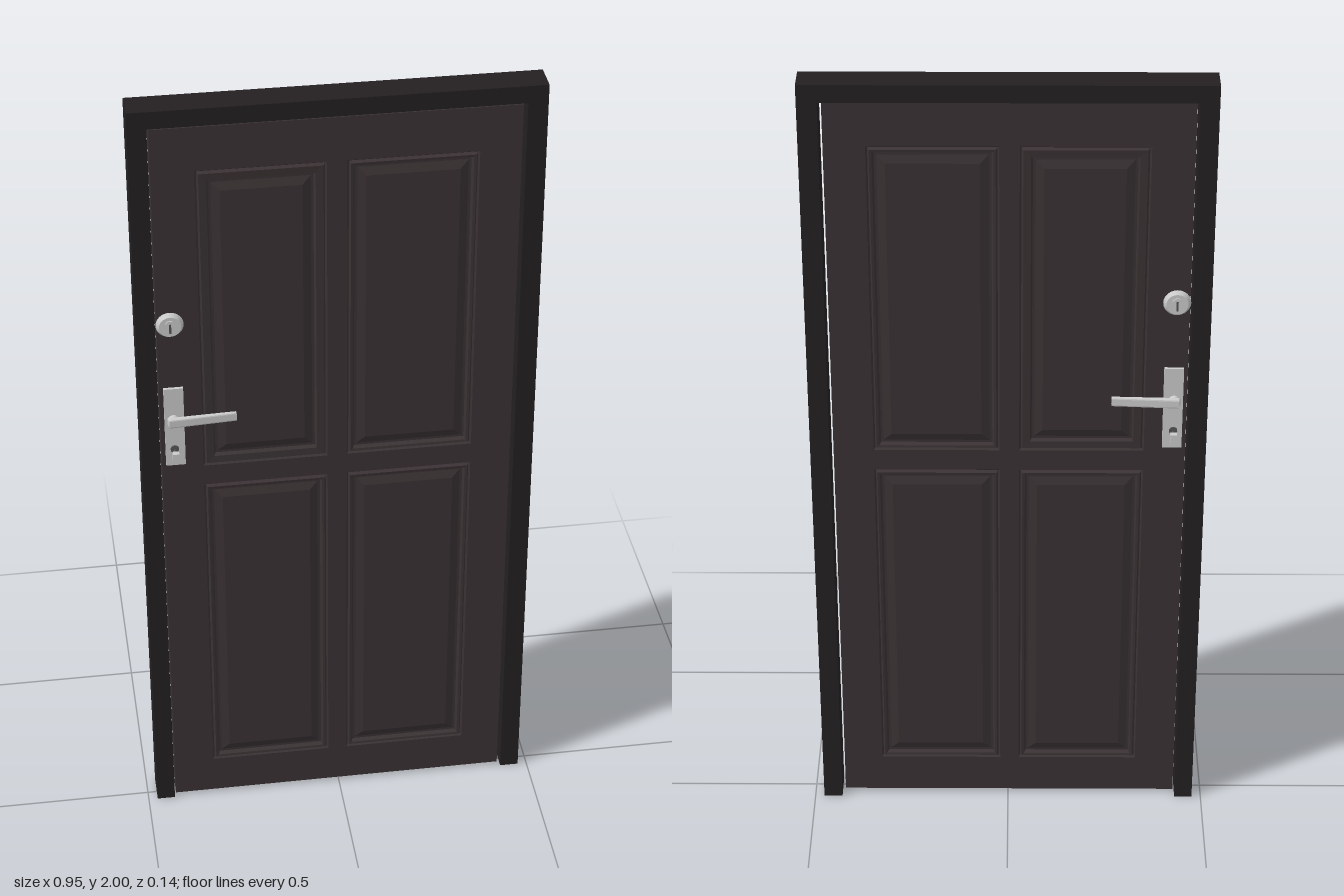
import * as THREE from 'three';

const doorMat = new THREE.MeshStandardMaterial({ color: 0x3a3234, flatShading: true });
const frameMat = new THREE.MeshStandardMaterial({ color: 0x242022 });
const metalMat = new THREE.MeshStandardMaterial({ color: 0xcccccc });
const darkMat = new THREE.MeshStandardMaterial({ color: 0x555555 });

const HALF = 0.023; // half thickness of the leaf

function add(parent, name, geometry, material, x = 0, y = 0, z = 0) {
  const mesh = new THREE.Mesh(geometry, material);
  mesh.name = name;
  mesh.position.set(x, y, z);
  parent.add(mesh);
  return mesh;
}

function rectPoints(x0, y0, x1, y1) {
  return [[x0, y0], [x1, y0], [x1, y1], [x0, y1]].map(([x, y]) => new THREE.Vector2(x, y));
}

// Moulded panel: rectangles stepping inwards, each given as [inset, height]
function panelGeometry(w, h, steps) {
  const pos = [], index = [];
  for (const [inset, z] of steps) {
    const a = w / 2 - inset, b = h / 2 - inset;
    pos.push(-a, -b, z, a, -b, z, a, b, z, -a, b, z);
  }
  for (let r = 0; r < steps.length - 1; r++) {
    for (let i = 0; i < 4; i++) {
      const a = r * 4 + i, b = r * 4 + (i + 1) % 4;
      index.push(a, b, b + 4, a, b + 4, a + 4);
    }
  }
  const c = (steps.length - 1) * 4;
  index.push(c, c + 1, c + 2, c, c + 2, c + 3);
  const g = new THREE.BufferGeometry();
  g.setAttribute('position', new THREE.Float32BufferAttribute(pos, 3));
  g.setIndex(index);
  const flat = g.toNonIndexed();
  flat.computeVertexNormals();
  return flat;
}

// Lock fittings on one face; s = 1 front, -1 back
function addHardware(parent, s) {
  const g = new THREE.Group();
  g.name = s > 0 ? 'frontHardware' : 'backHardware';
  g.position.x = -0.397;
  parent.add(g);
  const disc = (name, r0, r1, depth, y, z, mat = metalMat, sides = 24) => {
    const m = add(g, name, new THREE.CylinderGeometry(r1, r0, depth, sides), mat, 0, y, s * (z + depth / 2));
    m.rotation.x = s * Math.PI / 2;
  };

  // Upper lock rosette with its keyhole
  disc('upperLockRosette', 0.033, 0.026, 0.011, 1.44, HALF);
  disc('upperLockCylinder', 0.012, 0.012, 0.003, 1.445, HALF + 0.011);
  add(g, 'upperKeyhole', new THREE.BoxGeometry(0.005, 0.024, 0.002), darkMat, 0, 1.437, s * (HALF + 0.0142));

  // Back plate
  add(g, 'handlePlate', new THREE.BoxGeometry(0.047, 0.217, 0.008), metalMat, 0.002, 1.158, s * (HALF + 0.004));

  // Lever: neck plus a grip that tapers towards its free end
  disc('leverNeck', 0.014, 0.012, 0.018, 1.18, HALF + 0.004, metalMat, 16);
  const grip = new THREE.Shape([
    [-0.015, 0.037], [0.02, 0.036], [0.15, 0.031], [0.15, 0.041], [0.02, 0.050], [-0.012, 0.052],
  ].map(([x, z]) => new THREE.Vector2(x, -s * z)));
  const gripGeo = new THREE.ExtrudeGeometry(grip, {
    depth: 0.016, bevelEnabled: true, bevelThickness: 0.004, bevelSize: 0.003, bevelOffset: -0.003, bevelSegments: 2,
  });
  gripGeo.rotateX(-Math.PI / 2);
  add(g, 'leverGrip', gripGeo, metalMat, 0, 1.172, 0);

  // Lower lock cylinder with a small thumb turn
  disc('lowerLockCylinder', 0.01, 0.01, 0.004, 1.097, HALF + 0.008, darkMat);
  disc('thumbTurnStem', 0.003, 0.003, 0.03, 1.095, HALF + 0.008, darkMat, 8);
  add(g, 'thumbTurn', new THREE.BoxGeometry(0.016, 0.022, 0.014), metalMat, 0, 1.094, s * 0.062);
}

export function createModel() {
  const model = new THREE.Group();
  model.name = 'door';

  // Frame: two jambs and a lintel in one outline
  const outline = new THREE.Shape([
    [-0.477, 0], [-0.432, 0], [-0.432, 1.957], [0.43, 1.957],
    [0.43, 0], [0.477, 0], [0.477, 2], [-0.477, 2],
  ].map(([x, y]) => new THREE.Vector2(x, y)));
  add(model, 'frame', new THREE.ExtrudeGeometry(outline, { depth: 0.076, bevelEnabled: false }), frameMat, 0, 0, -0.048);

  // Leaf with four panel openings
  const leaf = new THREE.Group();
  leaf.name = 'leaf';
  leaf.position.z = -0.003;
  model.add(leaf);
  const wide = 0;
  const narrow = 0.012; // the panel beside the lever has a broader moulding
  const panels = [
    [-0.328, 1.035, -0.027, 1.84, narrow],
    [0.02, 1.035, 0.325, 1.84, wide],
    [-0.328, 0.11, -0.027, 0.98, wide],
    [0.02, 0.11, 0.325, 0.98, wide],
  ];
  const slab = new THREE.Shape(rectPoints(-0.428, 0.008, 0.422, 1.951));
  for (const [x0, y0, x1, y1] of panels) slab.holes.push(new THREE.Path(rectPoints(x0, y0, x1, y1)));
  add(leaf, 'stilesAndRails', new THREE.ExtrudeGeometry(slab, { depth: HALF * 2, bevelEnabled: false }), doorMat, 0, 0, -HALF);

  // Moulded panels on both faces
  for (const [x0, y0, x1, y1, extra] of panels) {
    const geo = panelGeometry(x1 - x0, y1 - y0, [
      [0, HALF], [0.004, HALF - 0.006], [0.008, HALF + 0.002], [0.014 + extra, HALF + 0.001],
      [0.018 + extra, HALF - 0.009], [0.024 + extra, HALF - 0.009], [0.044 + extra, HALF - 0.002],
    ]);
    for (const side of [0, Math.PI]) {
      add(leaf, 'panel', geo, doorMat, (x0 + x1) / 2, (y0 + y1) / 2, 0).rotation.y = side;
    }
  }

  addHardware(leaf, 1);
  addHardware(leaf, -1);
  return model;
}
